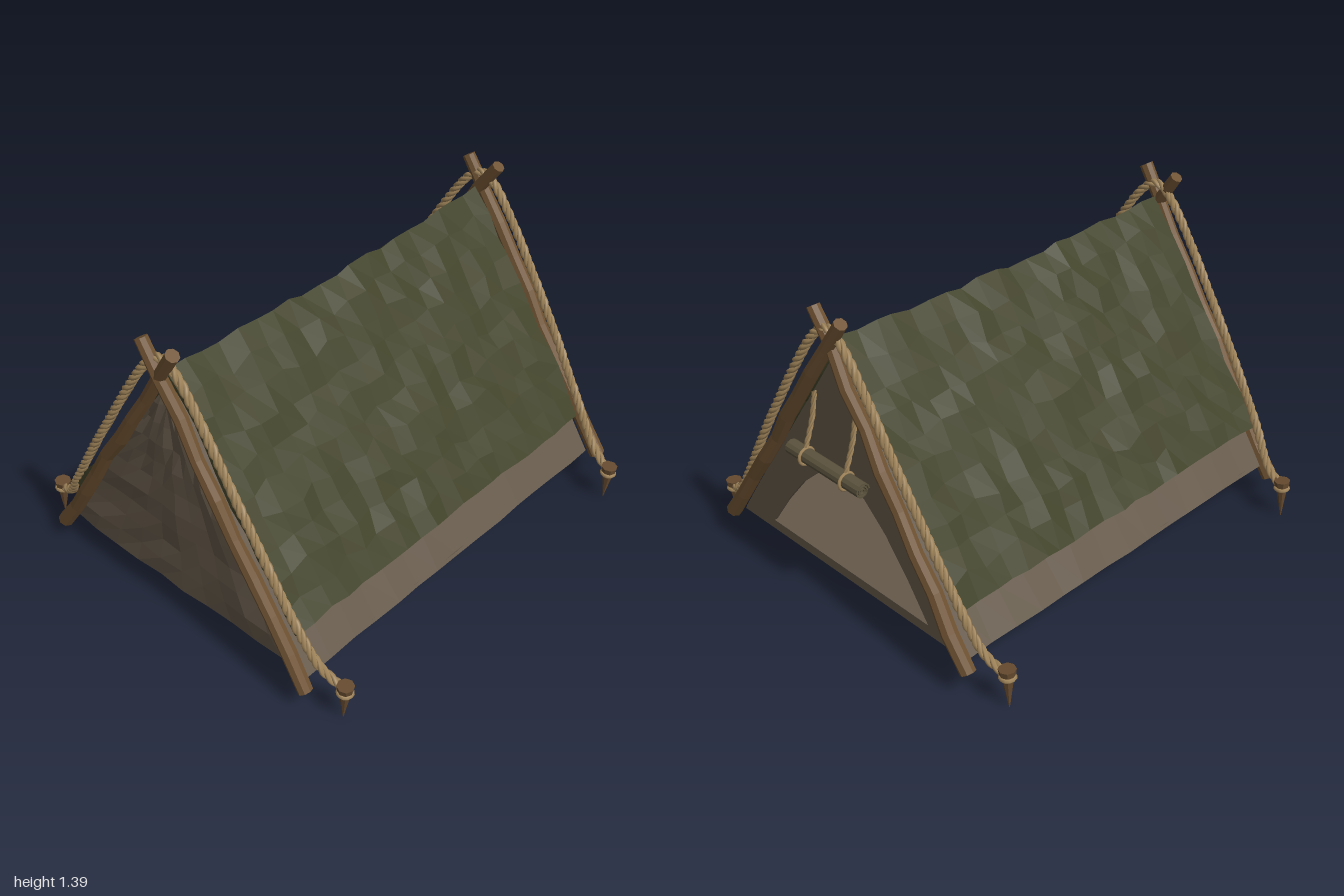
import * as THREE from 'three';

const mat = (name, color) => {
  const m = new THREE.MeshStandardMaterial({ color });
  m.name = name;
  return m;
};

// repeatable value in -1..1 for a point
const hash = (a, b, c = 0) => {
  const s = Math.sin(Math.round(a * 100) * 12.99 + Math.round(b * 100) * 78.23 + c * 37.7) * 43758.5453;
  return (s - Math.floor(s)) * 2 - 1;
};

// faceted normals
const facet = (geo) => {
  const g = geo.index ? geo.toNonIndexed() : geo;
  g.computeVertexNormals();
  return g;
};

// move every vertex by a rule
function warp(geo, rule) {
  const p = geo.attributes.position;
  for (let i = 0; i < p.count; i++) p.setXYZ(i, ...rule(p.getX(i), p.getY(i), p.getZ(i)));
  return facet(geo);
}

export function createModel() {
  const group = new THREE.Group();
  const green = mat('tarpGreen', 0x42432a);
  const canvas = mat('canvasTan', 0x65594a);
  const flapCloth = mat('flapCloth', 0x5c533d);
  const wood = mat('poleWood', 0x6f5232);
  const pegWood = mat('pegWood', 0x664b2f);
  const ropeFibre = mat('ropeFibre', 0xa3875c);

  const add = (name, geo, material, parent = group) => {
    const m = new THREE.Mesh(geo, material);
    m.name = name;
    parent.add(m);
    return m;
  };

  // folded sheet: u runs across the ridge, thickness along the slope normal
  function foldedSheet({ half, top, drop, z0, z1, thick, cols, rows, bump, edge, sag }) {
    const len = Math.hypot(half, drop);
    const box = new THREE.BoxGeometry(2, 2, 2, cols, 1, rows);
    return warp(box, (u, t, w) => {
      const end = Math.abs(w) > 0.99, low = Math.abs(u) > 0.99;
      const n = t * thick / 2 + bump * hash(u, w);
      const side = Math.abs(u) < 0.01 ? 0 : Math.sign(u);
      const jig = low ? 0 : 0.02 * hash(u, w, 3);
      const y = top - drop * (Math.abs(u) + (side ? jig : 0)) + (low ? edge * hash(u, w, 5) : 0);
      return [
        half * (u + side * jig) + side * n * drop / len,
        y + n * (side ? half / len : 1) + sag * w * w * (1 - Math.abs(u)),
        z0 + (z1 - z0) * (w + 1) / 2 + (end ? edge : 0.014) * hash(u, w, 7),
      ];
    });
  }

  // outer tarp and inner canvas
  add('outerTarp', foldedSheet({ half: 0.635, top: 1.225, drop: 0.89, z0: -0.865, z1: 0.935,
    thick: 0.02, cols: 20, rows: 20, bump: 0.011, edge: 0.009, sag: 0.022 }), green);
  add('canvasSides', foldedSheet({ half: 0.69, top: 1.18, drop: 1.03, z0: -0.885, z1: 0.94,
    thick: 0.014, cols: 12, rows: 14, bump: 0.004, edge: 0.004, sag: 0 }), canvas);

  // floor
  add('floor', new THREE.BoxGeometry(1.37, 0.02, 1.82), canvas).position.set(0, 0.155, 0.027);

  // closed front wall, slightly rumpled
  add('frontWall', warp(new THREE.BoxGeometry(2, 1, 0.012, 10, 10, 1), (u, v, z) => {
    const k = v + 0.5;
    return [u * 0.685 * (1 - k), 0.145 + 1.04 * k + (k < 0.01 ? 0.005 * hash(u, k) : 0),
      0.938 + z + 0.01 * hash(u, k, 2)];
  }), canvas);

  // back wall with doorway
  const shapeOf = (Type, pts) => new Type(pts.map(([x, y]) => new THREE.Vector2(x, y)));
  const door = [[-0.48, 0.19], [-0.37, 0.35], [-0.25, 0.5], [-0.13, 0.61], [0.13, 0.61], [0.25, 0.5], [0.37, 0.35], [0.48, 0.19]];
  const back = shapeOf(THREE.Shape, [[-0.69, 0.145], [0.69, 0.145], [0, 1.185]]);
  back.holes.push(shapeOf(THREE.Path, door));
  add('backWall', new THREE.ExtrudeGeometry(back, { depth: 0.014, bevelEnabled: false }), canvas)
    .position.z = -0.893;

  // rolled door flap: spiral cross-section pulled along x
  const outer = [], inner = [];
  for (let i = 0; i <= 30; i++) {
    const a = i / 30 * Math.PI * 5, r = 0.009 + 0.027 * i / 30;
    outer.push([r * Math.cos(a), r * Math.sin(a)]);
    inner.unshift([(r - 0.007) * Math.cos(a), (r - 0.007) * Math.sin(a)]);
  }
  const roll = add('rolledFlap', new THREE.ExtrudeGeometry(shapeOf(THREE.Shape, [...outer, ...inner]),
    { depth: 0.43, bevelEnabled: false }), flapCloth);
  roll.rotation.y = Math.PI / 2;
  roll.position.set(-0.215, 0.72, -0.962);

  // twisted three-strand rope
  function rope(name, pts, radius) {
    const curve = new THREE.CatmullRomCurve3(pts.map((p) => new THREE.Vector3(...p)));
    const n = Math.ceil(curve.getLength() / 0.015);
    const f = curve.computeFrenetFrames(n);
    const g = new THREE.Group();
    g.name = name;
    for (let s = 0; s < 3; s++) {
      const strand = [];
      for (let i = 0; i <= n; i++) {
        const a = i * 0.75 + s * Math.PI * 2 / 3;
        strand.push(curve.getPointAt(i / n)
          .addScaledVector(f.normals[i], Math.cos(a) * radius * 0.5)
          .addScaledVector(f.binormals[i], Math.sin(a) * radius * 0.5));
      }
      add('strand', new THREE.TubeGeometry(new THREE.CatmullRomCurve3(strand), n * 2, radius * 0.55, 5), ropeFibre, g);
    }
    group.add(g);
  }

  rope('frontGuyRope', [[-0.855, 0.15, 0.87], [-0.76, 0.205, 0.895], [-0.66, 0.345, 0.93], [-0.4, 0.77, 0.95],
    [-0.07, 1.27, 0.95], [0, 1.31, 0.95], [0.07, 1.27, 0.95], [0.38, 0.8, 0.95], [0.64, 0.36, 0.935],
    [0.74, 0.22, 0.92], [0.845, 0.15, 0.895]], 0.02);
  rope('backGuyRope', [[-0.855, 0.15, -0.845], [-0.75, 0.2, -0.86], [-0.65, 0.345, -0.875], [-0.38, 0.78, -0.895],
    [-0.07, 1.27, -0.91], [0, 1.31, -0.91], [0.07, 1.27, -0.91], [0.4, 0.77, -0.905], [0.65, 0.345, -0.885],
    [0.74, 0.22, -0.865], [0.85, 0.15, -0.835]], 0.02);

  // cords holding the rolled flap
  for (const x of [-0.12, 0.12]) {
    rope('flapCord', [[x, 0.99, -0.9], [x, 0.88, -0.92], [x, 0.76, -0.96]], 0.011);
    const loop = add('flapLoop', new THREE.TorusGeometry(0.036, 0.007, 5, 14), ropeFibre);
    loop.rotation.y = Math.PI / 2;
    loop.position.set(x, 0.72, -0.962);
  }

  // knobbly crossed poles
  function pole(name, from, to, seed) {
    const a = new THREE.Vector3(...from), b = new THREE.Vector3(...to);
    const len = a.distanceTo(b);
    const geo = warp(new THREE.CylinderGeometry(0.029, 0.034, len, 8, 9), (x, y, z) => {
      const k = 1 + 0.07 * hash(y, seed);
      return [x * k + 0.007 * hash(y, seed, 1), y, z * k + 0.005 * hash(y, seed, 2)];
    });
    const m = add(name, geo, wood);
    m.position.copy(a).lerp(b, 0.5);
    m.quaternion.setFromUnitVectors(new THREE.Vector3(0, 1, 0), b.sub(a).normalize());
  }
  pole('frontRightPole', [-0.73, 0.095, 0.96], [0.085, 1.37, 0.965], 1);
  pole('frontLeftPole', [0.7, 0.095, 0.965], [-0.095, 1.365, 0.96], 2);
  pole('backRightPole', [-0.72, 0.12, -0.92], [0.08, 1.375, -0.905], 3);
  pole('backLeftPole', [0.73, 0.13, -0.925], [-0.085, 1.365, -0.915], 4);

  // ground pegs with rope knots
  for (const [x, z] of [[-0.86, 0.87], [0.85, 0.9], [-0.86, -0.845], [0.855, -0.832]]) {
    const peg = new THREE.Group();
    peg.name = 'peg';
    add('pegSpike', facet(new THREE.CylinderGeometry(0.027, 0.002, 0.155, 8)), pegWood, peg).position.y = 0.0775;
    add('pegHead', facet(new THREE.CylinderGeometry(0.036, 0.032, 0.026, 8)), pegWood, peg).position.y = 0.168;
    const knot = add('pegKnot', new THREE.TorusGeometry(0.027, 0.01, 5, 12), ropeFibre, peg);
    knot.rotation.x = Math.PI / 2;
    knot.position.y = 0.142;
    peg.position.set(x - 0.012, 0.003, z);
    peg.rotation.z = -0.07;
    group.add(peg);
  }
  return group;
}
